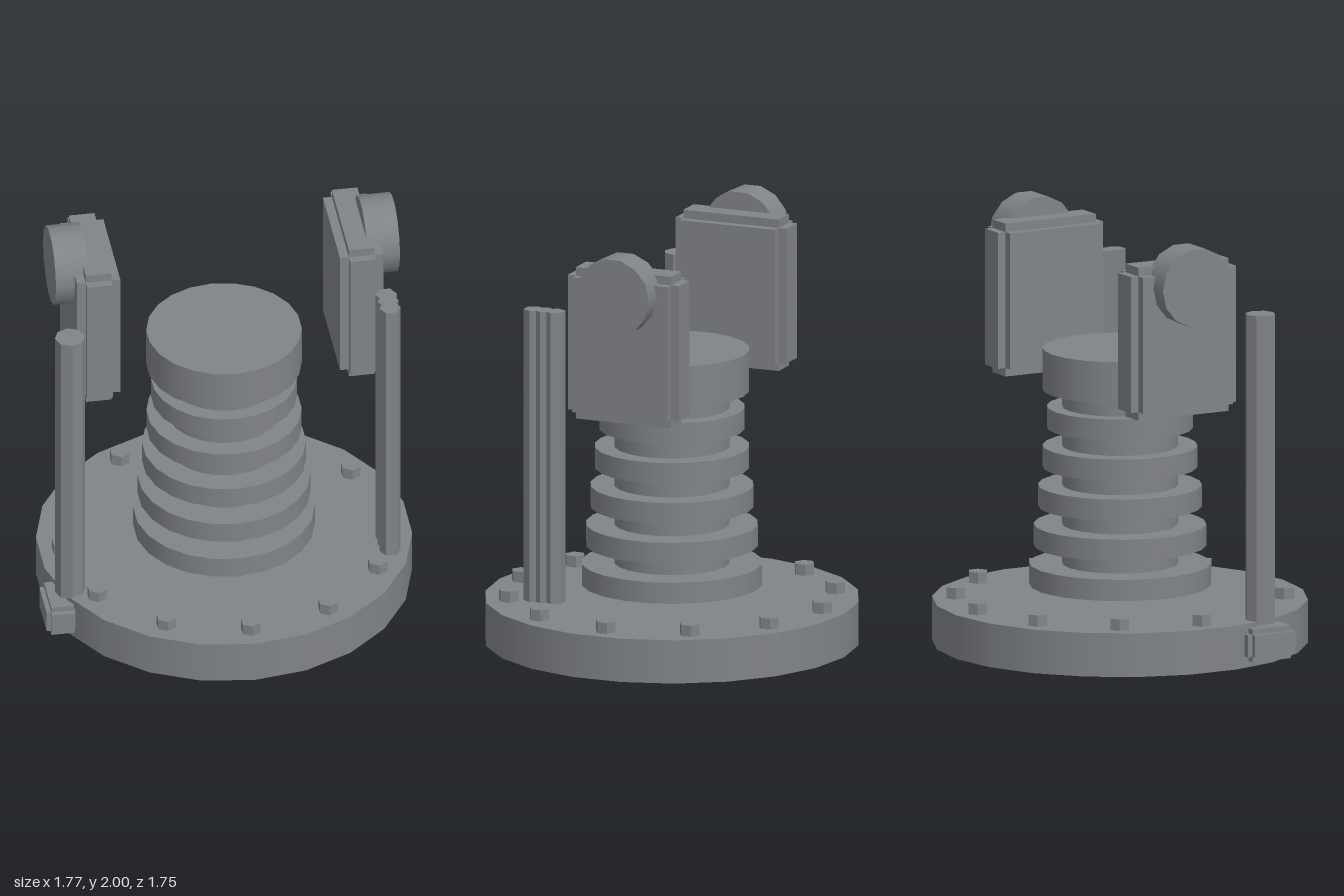
import * as THREE from 'three';

const COLOR = 0x808388; // blue-grey metal
const smooth = new THREE.MeshStandardMaterial({ color: COLOR });
const faceted = new THREE.MeshStandardMaterial({ color: COLOR, flatShading: true });
const AXIS = 0.019; // x of the base and column axis

export function createModel() {
  const model = new THREE.Group();

  // upright cylinder between two heights
  function post(name, radius, y0, y1, x, z, sides) {
    const geometry = new THREE.CylinderGeometry(radius, radius, y1 - y0, sides);
    const mesh = new THREE.Mesh(geometry, sides > 8 ? smooth : faceted);
    mesh.name = name;
    mesh.position.set(x, (y0 + y1) / 2, z);
    model.add(mesh);
    return mesh;
  }

  // block with stepped edges: three crossing boxes, each full size along one axis
  function steppedBlock(name, size, step, x, y, z) {
    const block = new THREE.Group();
    block.name = name;
    for (let axis = 0; axis < 3; axis++) {
      const dims = size.map((s, i) => (i === axis ? s : s - 2 * step[i]));
      const box = new THREE.Mesh(new THREE.BoxGeometry(...dims), faceted);
      box.name = name + 'Layer';
      block.add(box);
    }
    block.position.set(x, y, z);
    model.add(block);
  }

  // base plate with a ring of hexagonal bolts
  post('basePlate', 0.876, 0, 0.207, AXIS, 0, 22);
  for (let i = 0; i < 12; i++) {
    const a = (i * Math.PI) / 6;
    post('bolt', 0.049, 0.2, 0.26, AXIS + 0.764 * Math.sin(a), 0.764 * Math.cos(a), 6);
  }

  // insulator column: tapering discs with narrow necks between them
  for (let i = 0; i < 5; i++) {
    const y = 0.272 + i * 0.186;
    post('columnDisc', 0.423 - i * 0.0205, y, y + 0.101, AXIS, 0, 22);
    post('columnNeck', 0.27, y + 0.101, y + 0.179, AXIS, 0, 22);
  }
  post('columnCap', 0.362, 1.197, 1.393, AXIS, 0, 22);

  // side blocks, each with a round drum on its outer face
  for (const [x, drumX] of [[0.637, 0.75], [-0.604, -0.718]]) {
    steppedBlock('sideBlock', [0.205, 0.725, 0.565], [0.042, 0.04, 0.04], x, 1.552, -0.052);
    const drum = post('drum', 0.186, 1.742, 1.897, drumX, -0.052, 14);
    drum.position.y = 1.8187;
    drum.rotation.z = -Math.PI / 2;
  }

  // right pillar with its clamp on the rim
  post('rightPillar', 0.071, 0.2, 1.656, -0.759, 0.306, 8);
  steppedBlock('rimClamp', [0.152, 0.155, 0.255], [0.022, 0.025, 0.025], -0.81, 0.107, 0.307);

  // left pillar: a row of merged hexagonal rods
  for (const z of [0.279, 0.332, 0.385]) {
    post('leftPillarRod', 0.05, 0.312, 1.705, 0.738, z, 6).rotation.y = Math.PI / 6;
  }

  return model;
}
